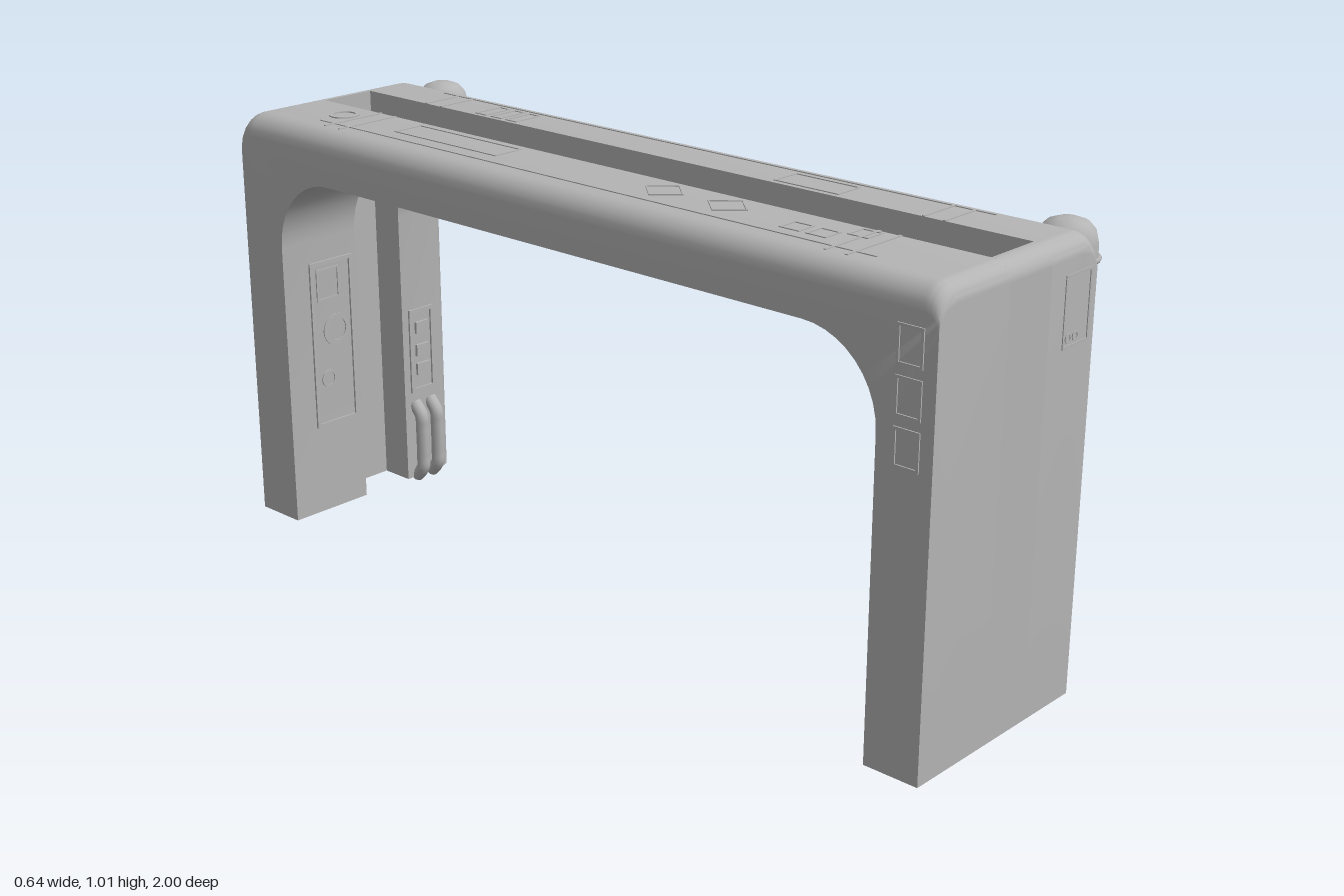
import * as THREE from 'three';
import { toCreasedNormals } from 'three/addons/utils/BufferGeometryUtils.js';

const grey = new THREE.MeshStandardMaterial({ color: 0xb4b4b4 });
grey.name = 'plain grey';

export function createModel() {
  const model = new THREE.Group();
  const add = (name, geo, x = 0, y = 0, z = 0, parent = model) => {
    const mesh = new THREE.Mesh(geo, grey);
    mesh.name = name;
    mesh.position.set(x, y, z);
    parent.add(mesh);
    return mesh;
  };
  const box = (name, w, h, d, x, y, z, parent) => add(name, new THREE.BoxGeometry(w, h, d), x, y, z, parent);

  // Half outline of the arch, from the foot to the middle of the beam, as [z, y]
  const STEPS = 10;
  function outline(outer, d) {
    const side = outer ? 1 : 0.87 + d, top = outer ? 1 - d : 0.875 + d, r = outer ? 0.04 : 0.18 + d;
    const pts = [[side, 0]];
    for (let i = 0; i <= STEPS; i++) {
      const a = (i / STEPS) * Math.PI / 2;
      pts.push([side - r + r * Math.cos(a), top - r + r * Math.sin(a)]);
    }
    return pts.concat(pts.slice().reverse().map(([z, y]) => [-z, y]));
  }

  // Sweep a section of [x, isOuter, inset] along the arch
  function arch(name, section) {
    const rails = section.map(([x, outer, d]) => outline(outer, d).map(([z, y]) => [x, y, z]));
    const n = rails.length, m = rails[0].length, pos = [];
    const tri = (a, b, c) => pos.push(...a, ...b, ...c);
    for (let k = 0; k < n; k++) {
      const p = rails[k], q = rails[(k + 1) % n];
      for (let i = 0; i < m - 1; i++) {
        tri(p[i], q[i], q[i + 1]);
        tri(p[i], q[i + 1], p[i + 1]);
      }
    }
    for (let k = 1; k < n - 1; k++) {
      tri(rails[0][0], rails[k + 1][0], rails[k][0]);
      tri(rails[0][m - 1], rails[k][m - 1], rails[k + 1][m - 1]);
    }
    const geo = new THREE.BufferGeometry();
    geo.setAttribute('position', new THREE.Float32BufferAttribute(pos, 3));
    add(name, toCreasedNormals(geo, 0.6));
  }
  const R = 0.05;
  const round = (cx, sign, outer, from, to) => Array.from({ length: 6 }, (_, i) => {
    const a = (from + (to - from) * i / 5) * Math.PI / 2;
    return [cx + sign * R * Math.sin(a), outer, R - R * Math.cos(a)];
  });
  arch('leftArch', [[0.04, true, 0], ...round(0.15, 1, true, 0, 1), ...round(0.15, 1, false, 1, 0), [0.04, false, 0]]);
  arch('rightArch', [...round(-0.27, -1, true, 1, 0), [-0.1, true, 0], [-0.1, false, 0], [-0.32, false, 0]]);

  // End walls closing the slot between the two arches
  const wall = new THREE.Shape();
  wall.moveTo(0.955, 0).lineTo(1, 0).lineTo(1, 0.96);
  wall.absarc(0.96, 0.96, 0.04, 0, Math.PI / 2, false);
  wall.lineTo(0.955, 1);
  const wallGeo = new THREE.ExtrudeGeometry(wall, { depth: 0.14, bevelEnabled: false, curveSegments: 10 });
  wallGeo.rotateY(-Math.PI / 2);
  add('frontWall', wallGeo, 0.04);
  add('backWall', wallGeo, -0.1).rotation.y = Math.PI;

  // Flat trim lying in a local xy plane and facing +z
  const frameGeo = (w, h, t = 0.006, depth = 0.004) => {
    const s = new THREE.Shape();
    s.moveTo(-w / 2, -h / 2).lineTo(w / 2, -h / 2).lineTo(w / 2, h / 2).lineTo(-w / 2, h / 2);
    const a = w / 2 - t, b = h / 2 - t, hole = new THREE.Path();
    hole.moveTo(-a, -b).lineTo(-a, b).lineTo(a, b).lineTo(a, -b);
    s.holes.push(hole);
    return new THREE.ExtrudeGeometry(s, { depth, bevelEnabled: false });
  };
  const ringGeo = (r, sides, t = 0.006) => {
    const s = new THREE.Shape().absarc(0, 0, r, 0, Math.PI * 2, false);
    s.holes.push(new THREE.Path().absarc(0, 0, r - t, 0, Math.PI * 2, true));
    return new THREE.ExtrudeGeometry(s, { depth: 0.004, bevelEnabled: false, curveSegments: sides });
  };
  const face = { top: [-Math.PI / 2, 0], front: [0, 0], side: [0, Math.PI / 2], back: [0, Math.PI], far: [0, -Math.PI / 2] };
  const trim = (name, geo, dir, x, y, z) => {
    const mesh = add(name, geo, x, y, z);
    mesh.rotation.set(face[dir][0], face[dir][1], 0);
    return mesh;
  };

  // Trim on top of the beam: x, z, width, length
  const topFrames = [[-0.16, -0.425, 0.08, 0.33], [0.09, 0.395, 0.075, 0.17], [0.09, -0.573, 0.08, 0.036],
    [0.09, -0.523, 0.08, 0.036], [0.09, -0.473, 0.08, 0.036], [-0.185, 0.565, 0.05, 0.05],
    [-0.185, 0.63, 0.05, 0.05], [-0.135, 0.692, 0.05, 0.05]];
  for (const [x, z, w, h] of topFrames) trim('topFrame', frameGeo(w, h, 0.004, 0.003), 'top', x, 0.999, z);
  trim('topPort', ringGeo(0.036, 20, 0.01), 'top', -0.17, 0.999, -0.8);
  for (const z of [0.2, 0.37]) trim('topHatch', ringGeo(0.048, 2, 0.004), 'top', -0.163, 0.999, z).scale.y = 1.1;
  box('topSeam', 0.006, 0.003, 1.6, -0.24, 1.0005, 0);
  box('topSeam', 0.006, 0.003, 1.6, 0.145, 1.0005, 0);
  for (const z of [-0.75, -0.7, 0.7, 0.75]) {
    box('crossSeam', 0.17, 0.003, 0.006, -0.185, 1.0005, z);
    box('crossSeam', 0.11, 0.003, 0.006, 0.095, 1.0005, z);
  }

  // Access panel on the front end
  trim('frontPanel', frameGeo(0.092, 0.15), 'front', 0.136, 0.855, 0.998);
  for (const x of [0.109, 0.134]) trim('panelButton', ringGeo(0.01, 6, 0.003), 'front', x, 0.8, 0.998);

  // Small frames on the outer edges of the front leg
  for (const y of [0.06, 0.12, 0.18, 0.56, 0.63, 0.7]) trim('legFrame', frameGeo(0.05, 0.048), 'side', 0.199, y, 0.935);
  for (const y of [0.68, 0.78, 0.88]) trim('edgeFrame', frameGeo(0.06, 0.08), 'far', -0.319, y, 0.94);

  // Twin pipes on the inner faces of the legs
  const pipe = (x, y0, y1, s) => {
    const p = [[0.875, y0], [0.85, y0 + 0.03], [0.848, y0 + 0.06], [0.848, y1 - 0.06], [0.85, y1 - 0.03], [0.875, y1]];
    const curve = new THREE.CatmullRomCurve3(p.map(([z, y]) => new THREE.Vector3(x, y, z * s)));
    add('pipe', new THREE.TubeGeometry(curve, 24, 0.017, 10));
  };
  for (const x of [0.075, 0.125]) {
    pipe(x, 0.06, 0.67, 1);
    pipe(x, 0.0, 0.2, -1);
  }

  // Equipment on the inner face of the back leg
  trim('innerPanel', frameGeo(0.13, 0.42, 0.01, 0.006), 'front', -0.18, 0.43, -0.871);
  trim('innerDial', ringGeo(0.04, 10, 0.012), 'front', -0.17, 0.46, -0.871);
  trim('innerDial', ringGeo(0.022, 10, 0.006), 'front', -0.2, 0.34, -0.871);
  trim('innerFrame', frameGeo(0.07, 0.08), 'front', -0.19, 0.58, -0.871);
  trim('controlPanel', frameGeo(0.08, 0.22, 0.01, 0.006), 'front', 0.1, 0.34, -0.871);
  for (const y of [0.29, 0.34, 0.4]) box('controlKey', 0.04, 0.03, 0.01, 0.1, y, -0.868);

  // Equipment on the outer side of the back leg
  box('sideBox', 0.016, 0.15, 0.06, 0.202, 0.195, -0.958);
  trim('sideBoxFrame', frameGeo(0.06, 0.15, 0.008), 'side', 0.208, 0.195, -0.958);
  trim('hexBolt', new THREE.CylinderGeometry(0.026, 0.026, 0.01, 6).rotateX(Math.PI / 2), 'side', 0.201, 0.62, -0.975);
  trim('hexBolt', new THREE.CylinderGeometry(0.028, 0.028, 0.01, 6).rotateX(Math.PI / 2), 'side', 0.201, 0.06, -0.962);
  trim('sideStud', new THREE.CylinderGeometry(0.01, 0.01, 0.01, 10).rotateX(Math.PI / 2), 'side', 0.201, 0.305, -0.925);
  const cable = [[0.83, -0.91], [0.7, -0.92], [0.55, -0.922], [0.46, -0.935], [0.4, -0.97], [0.34, -0.985], [0.26, -0.97]];
  add('cable', new THREE.TubeGeometry(new THREE.CatmullRomCurve3(
    cable.map(([y, z]) => new THREE.Vector3(0.2, y, z))), 40, 0.007, 6));

  // Lamps on the upper corners
  const profile = [[0, 0.815], [0.034, 0.815], [0.063, 0.85], [0.063, 0.95], [0.057, 0.975], [0.042, 0.992], [0.02, 1], [0, 1]]
    .map(([r, y]) => new THREE.Vector2(r, y));
  for (const z of [0.91, -0.905]) {
    const lamp = new THREE.Group();
    lamp.name = 'lamp';
    lamp.position.set(0.23, 0, z);
    model.add(lamp);
    add('lampBody', toCreasedNormals(new THREE.LatheGeometry(profile, 16), 0.6), 0, 0, 0, lamp);
    add('lampBand', new THREE.TorusGeometry(0.064, 0.006, 6, 20).rotateX(Math.PI / 2), 0, 0.92, 0, lamp);
    add('lampBulb', new THREE.SphereGeometry(0.029, 12, 8), 0.057, 0.92, 0, lamp);
    add('bulbBand', new THREE.TorusGeometry(0.028, 0.004, 6, 16).rotateX(Math.PI / 2), 0.058, 0.92, 0, lamp);
  }
  return model;
}
